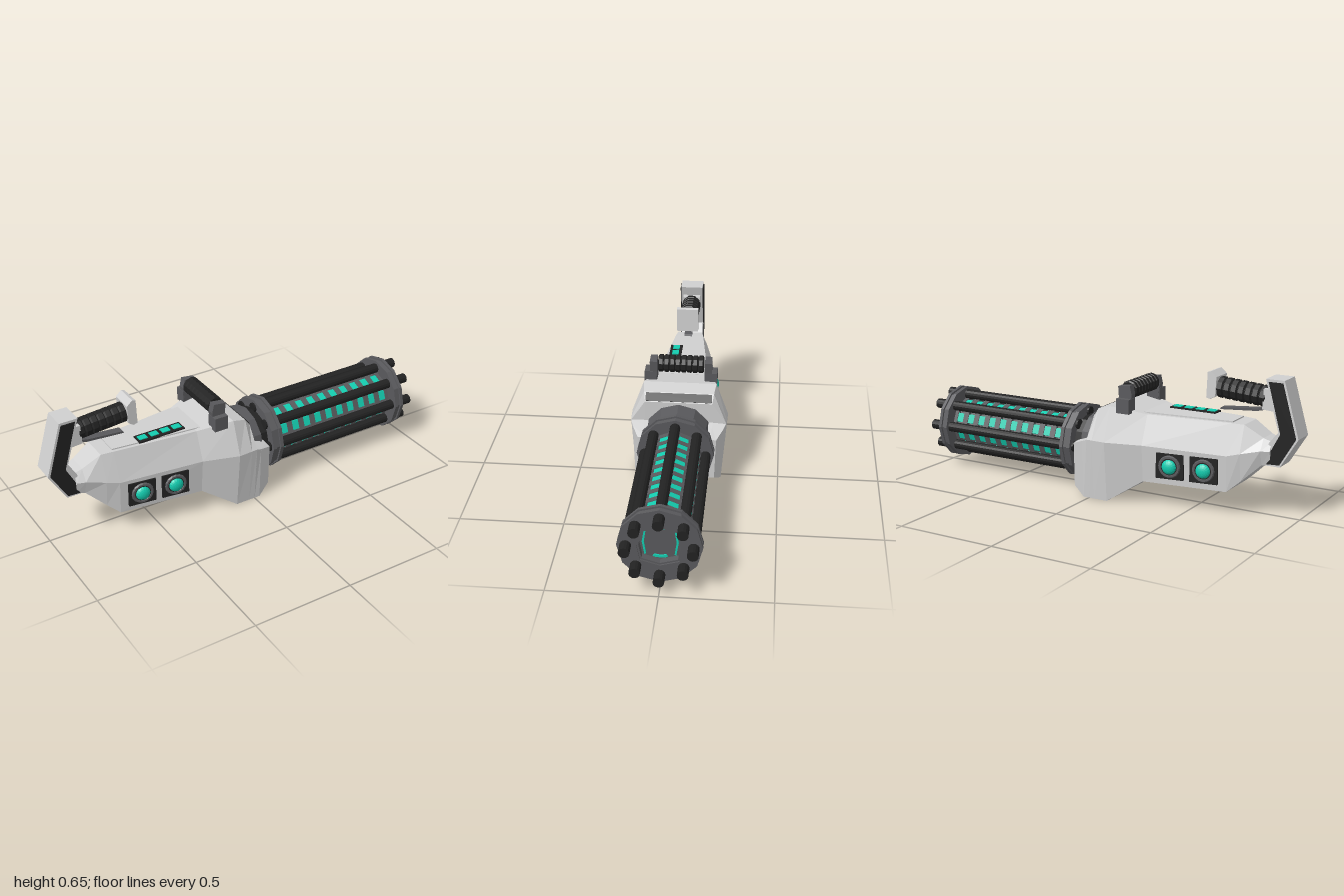
import * as THREE from 'three';

const mat = (name, color) => {
  const m = new THREE.MeshStandardMaterial({ color });
  m.name = name;
  return m;
};

export function createModel() {
  const root = new THREE.Group();
  const light = mat('light grey shell', 0xd0d0d0);
  const dark = mat('dark grey metal', 0x5a5a5d);
  const black = mat('black rubber', 0x222222);
  const teal = mat('teal glow', 0x14cdb0);
  const AXIS = 0.222; // height of the barrel axis

  const flat = (g) => {
    const f = g.index ? g.toNonIndexed() : g;
    f.computeVertexNormals();
    return f;
  };
  const add = (name, geo, material, parent = root) => {
    const m = new THREE.Mesh(flat(geo), material);
    m.name = name;
    parent.add(m);
    return m;
  };
  const group = (name, parent = root) => {
    const g = new THREE.Group();
    g.name = name;
    parent.add(g);
    return g;
  };
  const box = (x, y, z, w, h, d) => new THREE.BoxGeometry(w, h, d).translate(x, y, z);
  const shapeOf = (pts) => new THREE.Shape(pts.map(([a, b]) => new THREE.Vector2(a, b)));
  // outline in x and y, thickened evenly about z
  const slab = (pts, depth) =>
    new THREE.ExtrudeGeometry(shapeOf(pts), { depth, bevelEnabled: false }).translate(0, 0, -depth / 2);
  // cylinder along x
  const rod = (x0, x1, r, sides, r2 = r) =>
    new THREE.CylinderGeometry(r2, r, x1 - x0, sides).rotateZ(-Math.PI / 2).translate((x0 + x1) / 2, 0, 0);

  // six-sided sections [x, topY, topW, midY, midW, bottomY, bottomW] joined along x
  function loft(rows) {
    const rings = rows.map(([x, yt, wt, ym, wm, yb, wb]) =>
      [[yt, -wt], [yt, wt], [ym, wm], [yb, wb], [yb, -wb], [ym, -wm]].map(([y, z]) => [x, y, z]));
    const out = [];
    const tri = (...p) => p.forEach((v) => out.push(...v));
    for (let s = 0; s + 1 < rings.length; s++) {
      for (let i = 0; i < 6; i++) {
        const j = (i + 1) % 6, a = rings[s], b = rings[s + 1];
        tri(a[i], a[j], b[i]);
        tri(a[j], b[j], b[i]);
      }
    }
    const first = rings[0], last = rings[rings.length - 1];
    for (let i = 1; i < 5; i++) {
      tri(last[0], last[i], last[i + 1]);
      tri(first[0], first[i + 1], first[i]);
    }
    const g = new THREE.BufferGeometry();
    g.setAttribute('position', new THREE.Float32BufferAttribute(out, 3));
    return g;
  }
  // thin horizontal plate with tapering width
  const plate = (x0, w0, x1, w1, y, t) =>
    loft([[x0, w0], [x1, w1]].map(([x, w]) => [x, y + t / 2, w, y, w, y - t / 2, w]));

  // ribbed grip along y, centred
  function ribbed(length, count, r) {
    const pts = [new THREE.Vector2(0, -length / 2)];
    for (let i = 0; i < count; i++) {
      for (const [k, f] of [[0, 0.84], [0.18, 1], [0.82, 1], [0.98, 0.84]]) {
        pts.push(new THREE.Vector2(r * f, -length / 2 + ((i + k) * length) / count));
      }
    }
    pts.push(new THREE.Vector2(0, length / 2));
    return new THREE.LatheGeometry(pts, 10);
  }

  // main shell
  add('body', loft([
    [-0.87, 0.36, 0.045, 0.32, 0.072, 0.255, 0.055],
    [-0.83, 0.375, 0.05, 0.32, 0.085, 0.25, 0.065],
    [-0.74, 0.428, 0.065, 0.3, 0.11, 0.165, 0.095],
    [-0.68, 0.43, 0.075, 0.285, 0.125, 0.112, 0.115],
    [-0.27, 0.43, 0.125, 0.29, 0.18, 0.112, 0.165],
    [-0.1, 0.46, 0.18, 0.295, 0.24, 0, 0.215],
    [-0.03, 0.44, 0.172, 0.295, 0.237, 0, 0.215],
    [0, 0.4, 0.165, 0.295, 0.235, 0, 0.215],
    [0.001, 0.297, 0.17, 0.293, 0.234, 0, 0.215],
    [0.03, 0.286, 0.168, 0.282, 0.225, 0, 0.215],
    [0.1, 0.26, 0.16, 0.255, 0.192, 0.04, 0.185],
  ]), light);
  add('topPanel', plate(-0.68, 0.06, -0.24, 0.108, 0.43, 0.012), light);
  add('bottomFrame', plate(-0.66, 0.1, -0.29, 0.14, 0.111, 0.01), light);
  add('bottomPanel', plate(-0.635, 0.086, -0.315, 0.12, 0.107, 0.008), dark);
  const vent = add('frontVent', new THREE.BoxGeometry(0.042, 0.008, 0.325), black);
  vent.position.set(-0.015, 0.42, 0);
  vent.rotation.z = -Math.atan2(4, 3);

  // row of indicator lights on the top
  const lights = group('topLights');
  add('lightStrip', box(-0.43, 0.438, 0.055, 0.24, 0.008, 0.062), black, lights);
  for (let i = 0; i < 4; i++) {
    add('indicator', box(-0.52 + i * 0.06, 0.442, 0.055, 0.042, 0.008, 0.034), teal, lights);
  }

  // round lamps on both flanks
  for (const side of [1, -1]) {
    for (const [x, z] of [[-0.575, 0.135], [-0.41, 0.157]]) {
      const lamp = group('sideLamp');
      lamp.position.set(x, 0.205, side * z);
      lamp.rotation.y = side > 0 ? -0.13 : Math.PI + 0.13;
      add('lampPlate', box(0, 0, 0, 0.135, 0.122, 0.018), black, lamp);
      add('lampRing', new THREE.TorusGeometry(0.046, 0.009, 6, 16).translate(0, 0, 0.01), dark, lamp);
      add('lampSeat', new THREE.CylinderGeometry(0.044, 0.044, 0.008, 16).rotateX(Math.PI / 2).translate(0, 0, 0.011), black, lamp);
      const dome = new THREE.SphereGeometry(0.036, 16, 6, 0, Math.PI * 2, 0, Math.PI / 2);
      add('lampDome', dome.scale(1, 0.6, 1).rotateX(Math.PI / 2).translate(0, 0, 0.013), teal, lamp);
    }
  }

  // rear handle with black side inlays
  const rear = group('rearHandle');
  add('handleFrame', slab([[-0.925, 0.65], [-0.835, 0.65], [-0.865, 0.54], [-0.903, 0.41], [-0.86, 0.36],
    [-0.83, 0.25], [-0.915, 0.25], [-1, 0.39]], 0.114), light, rear);
  const inlay = [[-0.918, 0.638], [-0.85, 0.638], [-0.877, 0.54], [-0.914, 0.405], [-0.853, 0.287],
    [-0.853, 0.258], [-0.913, 0.261], [-0.989, 0.39]];
  for (const side of [1, -1]) {
    add('handleInlay', slab(inlay, 0.008).translate(0, 0, side * 0.058), black, rear);
  }
  add('gripMount', slab([[-0.885, 0.6], [-0.82, 0.6], [-0.815, 0.505], [-0.885, 0.5]], 0.09), light, rear);
  const grip = add('rearGrip', ribbed(0.25, 7, 0.05), black, rear);
  grip.position.set(-0.705, 0.567, 0);
  grip.rotation.z = -Math.PI / 2 + 0.08;
  add('gripEnd', slab([[-0.59, 0.63], [-0.562, 0.655], [-0.545, 0.65], [-0.54, 0.53], [-0.56, 0.524], [-0.585, 0.54]], 0.11), light, rear);
  add('trigger', slab([[-0.82, 0.51], [-0.78, 0.5], [-0.6, 0.484], [-0.595, 0.474], [-0.78, 0.488], [-0.82, 0.498]], 0.04), dark, rear);

  // carrying handle across the top
  const carry = group('carryHandle');
  const bar = add('carryGrip', ribbed(0.226, 8, 0.044), black, carry);
  bar.position.set(-0.162, 0.533, 0);
  bar.rotation.x = Math.PI / 2;
  for (const side of [1, -1]) {
    add('carryFoot', box(-0.165, 0.465, side * 0.15, 0.07, 0.07, 0.06), dark, carry);
    add('carryPost', slab([[-0.193, 0.45], [-0.135, 0.45], [-0.127, 0.555], [-0.19, 0.563], [-0.2, 0.52]], 0.035)
      .translate(0, 0, side * 0.136), dark, carry);
  }

  // rotating barrel cluster
  const barrel = group('barrelCluster');
  barrel.position.y = AXIS;
  add('rearCollar', rod(-0.02, 0.085, 0.17, 12, 0.16), dark, barrel);
  add('collarNeck', rod(0.085, 0.14, 0.14, 12), black, barrel);
  add('core', rod(0.1, 0.9, 0.115, 8), dark, barrel);
  for (const [x0, x1, r] of [[0.13, 0.148, 0.187], [0.148, 0.172, 0.178], [0.172, 0.19, 0.187]]) {
    add('rearRing', rod(x0, x1, r, 12), dark, barrel);
  }
  for (let k = 0; k < 8; k++) {
    const a = (k * Math.PI) / 4;
    add('barrelTube', rod(0.12, 1, 0.025, 14).translate(0, 0.147, 0).rotateX(a), black, barrel);
    for (let i = 0; i < 10; i++) {
      add('glowCell', box(0.24 + i * 0.068, 0.112, 0, 0.036, 0.02, 0.046).rotateX(a + Math.PI / 8), teal, barrel);
    }
  }
  for (let i = 0; i <= 10; i++) {
    add('coreRib', rod(0.191 + i * 0.068, 0.221 + i * 0.068, 0.134, 8), dark, barrel);
  }

  // muzzle ring with a recessed eight-sided opening
  const opening = (s) => [[0.1, 0], [0.086, 0.075], [0, 0.1], [-0.086, 0.075], [-0.1, 0], [-0.086, -0.075], [0, -0.1], [0.086, -0.075]]
    .map(([z, y]) => [z * s, y * s]);
  const facing = (shape, x, depth) =>
    new THREE.ExtrudeGeometry(shape, { depth, bevelEnabled: false }).rotateY(Math.PI / 2).translate(x, 0, 0);
  const annulus = (outer, inner, x, depth) => {
    const s = shapeOf(outer);
    s.holes.push(shapeOf(inner));
    return facing(s, x, depth);
  };
  const twelve = (r) => Array.from({ length: 12 }, (_, i) => [r * Math.cos((i * Math.PI) / 6), r * Math.sin((i * Math.PI) / 6)]);
  for (const [x, d, r] of [[0.89, 0.016, 0.187], [0.906, 0.018, 0.178], [0.924, 0.016, 0.187]]) {
    add('muzzleRing', annulus(twelve(r), opening(1), x, d), dark, barrel);
  }
  add('muzzleInnerFrame', annulus(opening(1), opening(0.92), 0.895, 0.038), dark, barrel);
  const sideGlow = [[0.071, 0], [0.062, 0.062], [0.069, 0.068], [0.08, 0], [0.069, -0.068], [0.062, -0.062]];
  const endGlow = [[-0.026, 0.066], [-0.033, 0.074], [-0.02, 0.08], [0.02, 0.08], [0.033, 0.074], [0.026, 0.066], [0, 0.07]];
  for (const s of [1, -1]) {
    add('muzzleGlow', facing(shapeOf(sideGlow.map(([z, y]) => [z * s, y])), 0.9, 0.008), teal, barrel);
    add('muzzleGlow', facing(shapeOf(endGlow.map(([z, y]) => [z, y * s])), 0.9, 0.008), teal, barrel);
  }
  return root;
}
